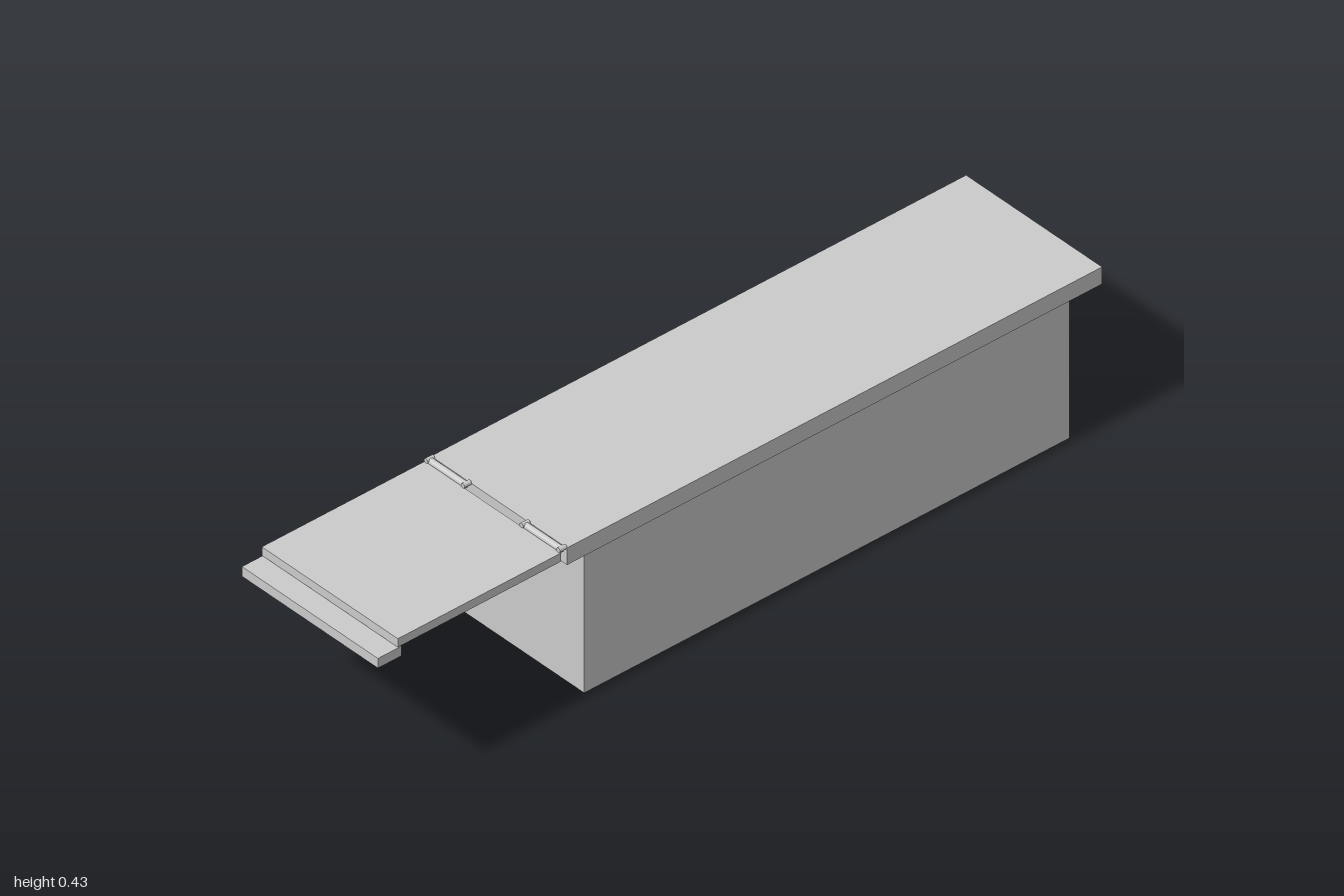
import * as THREE from 'three';

const material = new THREE.MeshStandardMaterial({ color: 0xcccccc, side: THREE.DoubleSide, flatShading: true });

// Box given by its limits; `omit` lists open faces (0 +x, 1 -x, 2 +y, 3 -y, 4 +z, 5 -z)
function box(name, [x0, x1], [y0, y1], halfDepth, omit = []) {
  const geometry = new THREE.BoxGeometry(x1 - x0, y1 - y0, 2 * halfDepth);
  const index = Array.from(geometry.index.array);
  geometry.setIndex(index.filter((_, i) => !omit.includes(Math.floor(i / 6))));
  geometry.clearGroups();
  geometry.translate((x0 + x1) / 2, (y0 + y1) / 2, 0);
  const mesh = new THREE.Mesh(geometry, material);
  mesh.name = name;
  return mesh;
}

// Round rod between two points
function rod(name, a, b, radius) {
  const start = new THREE.Vector3(...a), end = new THREE.Vector3(...b);
  const span = end.clone().sub(start);
  const mesh = new THREE.Mesh(new THREE.CylinderGeometry(radius, radius, span.length(), 12), material);
  mesh.name = name;
  mesh.position.copy(start).add(end).multiplyScalar(0.5);
  mesh.quaternion.setFromUnitVectors(new THREE.Vector3(0, 1, 0), span.normalize());
  return mesh;
}

export function createModel() {
  const model = new THREE.Group();
  model.name = 'troughWithFlap';

  // Thin-walled body, open underneath
  model.add(box('body', [-0.41, 0.93], [0, 0.376], 0.19, [2, 3]));

  // Flat hollow cover with an open end
  model.add(box('cover', [-0.478, 1], [0.376, 0.42], 0.213, [0]));

  // Flap with a stepped lip at its far end
  model.add(box('flap', [-0.945, -0.495], [0.393, 0.415], 0.213));
  model.add(box('flapLip', [-1, -0.935], [0.366, 0.391], 0.213));

  // Two staple-shaped hinges between flap and cover
  for (const side of [1, -1]) {
    const hinge = new THREE.Group();
    hinge.name = side > 0 ? 'frontHinge' : 'backHinge';
    const inner = side * 0.092, outer = side * 0.207;
    hinge.add(rod('hingeBar', [-0.487, 0.417, inner], [-0.487, 0.417, outer], 0.008));
    for (const z of [inner, outer]) {
      hinge.add(rod('hingePin', [-0.497, 0.42, z], [-0.477, 0.42, z], 0.006));
    }
    model.add(hinge);
  }
  return model;
}
